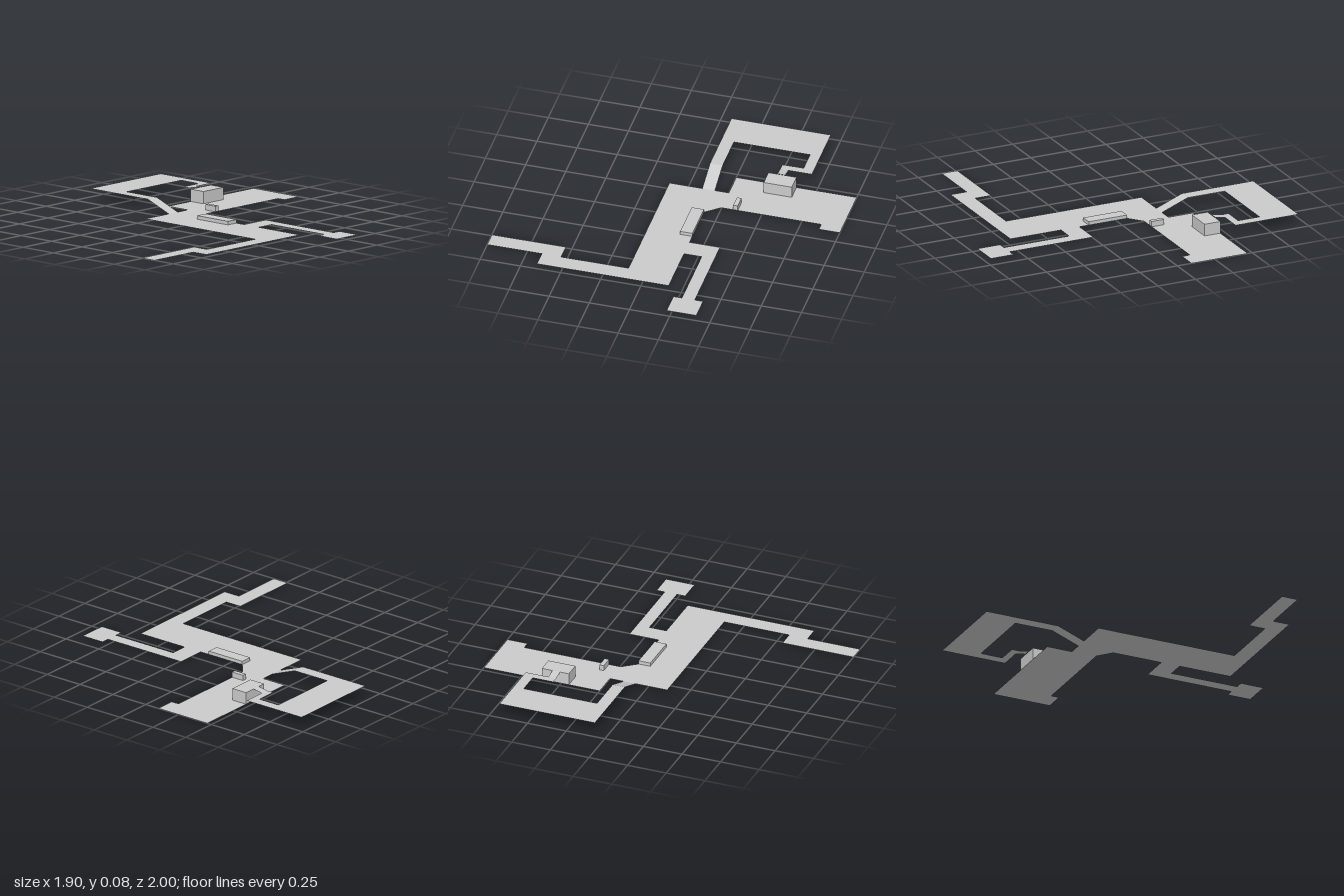
import * as THREE from 'three';

const material = new THREE.MeshStandardMaterial({ color: 0xcccccc, flatShading: true, side: THREE.DoubleSide });

export function createModel() {
  const model = new THREE.Group();
  model.name = 'floorPlanLevel';

  const add = (name, geometry) => {
    const mesh = new THREE.Mesh(geometry, material);
    mesh.name = name;
    model.add(mesh);
    return mesh;
  };

  // Thin horizontal floor from an outline of [x, z] corners
  const floor = (name, y, outline) => {
    const shape = new THREE.Shape(outline.map(([x, z]) => new THREE.Vector2(x, -z)));
    add(name, new THREE.ShapeGeometry(shape).rotateX(-Math.PI / 2)).position.y = y;
  };

  // Solid block standing on the ground
  const block = (name, x0, x1, z0, z1, h) => {
    add(name, new THREE.BoxGeometry(x1 - x0, h, z1 - z0))
      .position.set((x0 + x1) / 2, h / 2, (z0 + z1) / 2);
  };

  // Thin sloping plane between two heights along x
  const ramp = (name, x0, y0, x1, y1, z0, z1) => {
    const geometry = new THREE.PlaneGeometry(Math.hypot(x1 - x0, y1 - y0), z1 - z0)
      .rotateX(-Math.PI / 2)
      .rotateZ(Math.atan2(y1 - y0, x1 - x0));
    add(name, geometry).position.set((x0 + x1) / 2, (y0 + y1) / 2, (z0 + z1) / 2);
  };

  // Ground level: back hall, central hall, side corridor and front corridor
  floor('groundFloor', 0, [
    [-0.47, -1], [-0.095, -1], [-0.095, -0.87], [-0.147, -0.87], [-0.147, -0.247],
    [-0.075, -0.16], [0.242, -0.16], [0.242, -0.35], [0.8, -0.35], [0.8, -0.402],
    [0.95, -0.402], [0.95, -0.217], [0.8, -0.217], [0.8, -0.27], [0.365, -0.27],
    [0.365, -0.16], [0.702, -0.16], [0.702, 0.66], [0.595, 0.66], [0.595, 1],
    [0.49, 1], [0.49, 0.54], [0.595, 0.54], [0.595, 0.12], [-0.307, 0.12],
    [-0.307, -0.25], [-0.47, -0.25],
  ]);

  // Raised level wrapping around an open well
  floor('upperFloor', 0.066, [
    [-0.953, -0.702], [-0.535, -0.702], [-0.535, -0.505], [-0.583, -0.505],
    [-0.583, -0.637], [-0.725, -0.637], [-0.725, -0.163], [-0.478, -0.163],
    [-0.478, -0.084], [-0.953, -0.084],
  ]);

  // Ramps linking the levels
  ramp('mainRamp', -0.478, 0.066, -0.307, 0, -0.163, -0.084);
  ramp('platformRamp', -0.535, 0.066, -0.47, 0.077, -0.555, -0.505);

  // Raised blocks
  block('platform', -0.47, -0.365, -0.625, -0.45, 0.075);
  block('smallBlock', -0.23, -0.147, -0.35, -0.322, 0.034);
  block('longBench', -0.075, 0.18, -0.16, -0.084, 0.022);

  return model;
}
